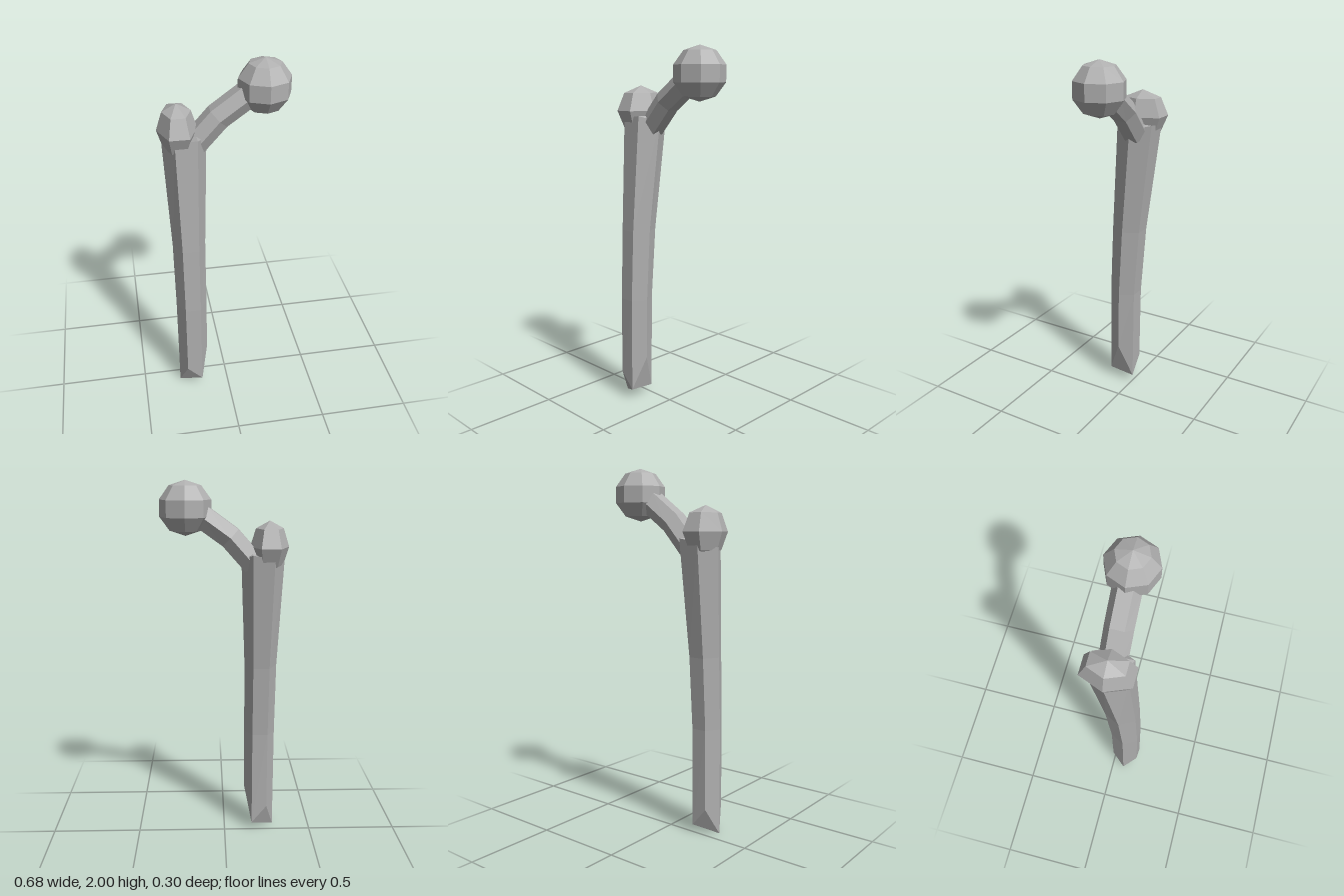
import * as THREE from 'three';

// Skin a list of six-sided rings (bottom to top), closed at both ends
function loft(rings, material, name) {
  const pos = [];
  const tri = (...pts) => pts.forEach((p) => pos.push(p.x, p.y, p.z));
  for (let r = 0; r < rings.length - 1; r++) {
    const lo = rings[r], hi = rings[r + 1];
    for (let i = 0; i < 6; i++) {
      const j = (i + 1) % 6;
      tri(lo[i], hi[i], lo[j]);
      tri(lo[j], hi[i], hi[j]);
    }
  }
  const first = rings[0], last = rings[rings.length - 1];
  [[1, 2, 3], [3, 4, 5], [5, 0, 1], [1, 3, 5]].forEach(([a, b, c]) => {
    tri(first[a], first[b], first[c]);
    tri(last[a], last[c], last[b]);
  });
  const geometry = new THREE.BufferGeometry();
  geometry.setAttribute('position', new THREE.Float32BufferAttribute(pos, 3));
  geometry.computeVertexNormals();
  const mesh = new THREE.Mesh(geometry, material);
  mesh.name = name;
  return mesh;
}

const corners = [0, 1, 2, 3, 4, 5].map((i) => (i * Math.PI) / 3);

export function createModel() {
  const model = new THREE.Group();
  model.name = 'brokenBone';
  const bone = new THREE.MeshStandardMaterial({ color: 0xb0b0b0 });
  bone.name = 'boneGrey';
  bone.flatShading = true;

  // Shaft: hexagonal, gently bowed, with a jagged broken lower end
  // Each section: corner heights, centre x, half width, centre z, z radius
  const jagged = [0.25, 0.06, 0.15, 0.0, 0.15, 0.045];
  const rim = [1.6, 1.635, 1.62, 1.58, 1.61, 1.625];
  const level = (y) => Array(6).fill(y);
  const sections = [
    [jagged, -0.202, 0.085, 0.0715, 0.089],
    [level(0.6), -0.201, 0.086, 0.067, 0.09],
    [level(1.0), -0.2015, 0.089, 0.045, 0.098],
    [rim, -0.2025, 0.114, -0.012, 0.12],
  ];
  model.add(loft(sections.map(([ys, cx, rx, cz, rz]) => corners.map((a, i) =>
    new THREE.Vector3(cx + rx * Math.cos(a), ys[i], cz + rz * Math.sin(a)))), bone, 'shaft'));

  // Neck: bent hexagonal bar; each entry is x, y and the slope angle
  const neck = [[-0.155, 1.57, 0.89], [-0.03, 1.71, 0.75], [0.12, 1.818, 0.62]];
  model.add(loft(neck.map(([x, y, slope]) => corners.map((c) => {
    const a = c + Math.PI / 6;
    const across = 0.069 * Math.cos(a);
    return new THREE.Vector3(
      x + across * Math.sin(slope), y - across * Math.cos(slope), -0.0135 + 0.0715 * Math.sin(a));
  })), bone, 'neck'));

  // Ball head
  const head = new THREE.Mesh(new THREE.SphereGeometry(0.1415, 8, 5), bone);
  head.name = 'ballHead';
  head.position.set(0.203, 1.8585, -0.0125);
  model.add(head);

  // Knob on top of the shaft
  const knob = new THREE.Mesh(new THREE.SphereGeometry(1, 6, 4), bone);
  knob.name = 'knob';
  knob.scale.set(0.103, 0.135, 0.149);
  knob.position.set(-0.2365, 1.66, -0.0115);
  model.add(knob);

  return model;
}
